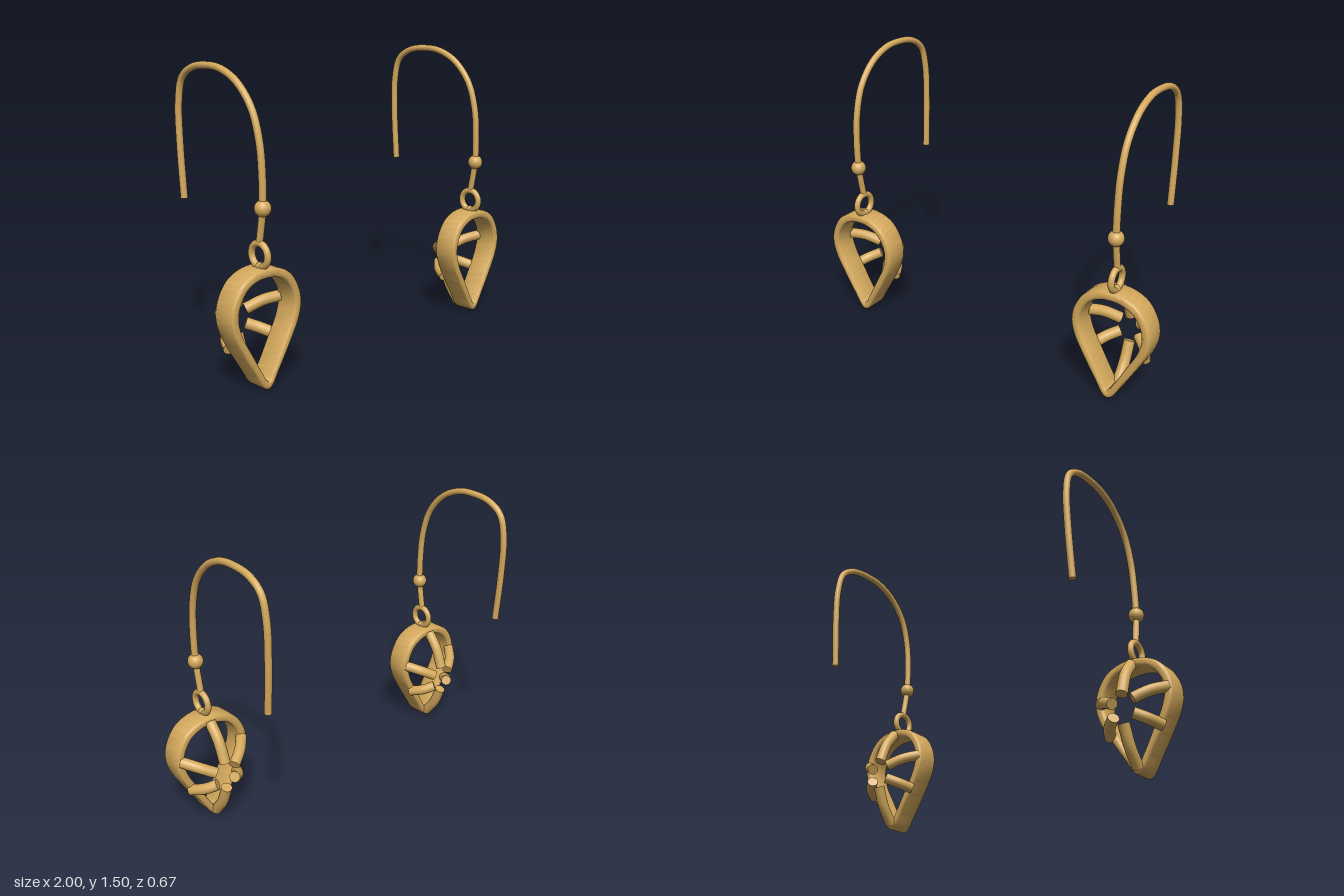
import * as THREE from 'three';
import { toCreasedNormals } from 'three/addons/utils/BufferGeometryUtils.js';

const gold = new THREE.MeshStandardMaterial({ color: 0xd4a95c });
gold.name = 'gold';

function add(parent, name, geometry, x = 0, y = 0, z = 0) {
  const mesh = new THREE.Mesh(geometry, gold);
  mesh.name = name;
  mesh.position.set(x, y, z);
  parent.add(mesh);
  return mesh;
}

// Round wire through points, closed with a flat disc at each end
function addWire(parent, name, points, radius, segments) {
  const curve = new THREE.CatmullRomCurve3(points.map(p => new THREE.Vector3(...p)));
  const group = new THREE.Group();
  group.name = name;
  add(group, name + 'Rod', new THREE.TubeGeometry(curve, segments, radius, 16));
  for (const t of [0, 1]) {
    const p = curve.getPointAt(t);
    const cap = add(group, name + 'End', new THREE.CircleGeometry(radius, 16), p.x, p.y, p.z);
    const out = curve.getTangentAt(t).multiplyScalar(t ? 1 : -1);
    cap.quaternion.setFromUnitVectors(new THREE.Vector3(0, 0, 1), out);
  }
  parent.add(group);
}

// Closed teardrop outline from its right half, listed from tip to top
function teardrop(half) {
  const left = half.slice(1, -1).reverse().map(([x, y]) => [-x, y]);
  const points = [...half, ...left].map(([x, y]) => new THREE.Vector3(x, y, 0));
  const curve = new THREE.CatmullRomCurve3(points, true);
  return curve.getSpacedPoints(96).slice(0, -1).map(p => new THREE.Vector2(p.x, p.y));
}

function frameGeometry() {
  const shape = new THREE.Shape(teardrop([
    [0, 0.008], [0.026, 0.022], [0.07, 0.092], [0.142, 0.21], [0.197, 0.315],
    [0.213, 0.39], [0.2, 0.465], [0.15, 0.545], [0.08, 0.585], [0, 0.597]]));
  shape.holes.push(new THREE.Path(teardrop([
    [0, 0.052], [0.03, 0.095], [0.09, 0.203], [0.147, 0.31],
    [0.167, 0.39], [0.156, 0.452], [0.115, 0.514], [0.06, 0.543], [0, 0.551]])));
  const bevel = 0.017;
  const geometry = new THREE.ExtrudeGeometry(shape, {
    depth: 0.13 - 2 * bevel, bevelThickness: bevel, bevelSize: bevel,
    bevelOffset: -bevel, bevelSegments: 4,
  });
  geometry.translate(0, 0, 0.19 + bevel);
  return toCreasedNormals(geometry, 0.7);
}

function createEarring() {
  const earring = new THREE.Group();

  add(earring, 'teardropFrame', frameGeometry());

  // Curved prongs cupping the back of the frame
  const prong = (name, points) => addWire(earring, name, points, 0.029, 12);
  prong('topProng', [[0, 0.568, 0.2], [0, 0.49, 0.137], [0, 0.375, 0.09]]);
  prong('bottomProng', [[0, 0.035, 0.2], [0, 0.125, 0.133], [0, 0.228, 0.09]]);
  for (const s of [1, -1]) {
    prong('upperSideProng', [[s * 0.185, 0.405, 0.205], [s * 0.125, 0.378, 0.137], [s * 0.055, 0.34, 0.09]]);
    prong('lowerSideProng', [[s * 0.142, 0.22, 0.205], [s * 0.105, 0.242, 0.137], [s * 0.052, 0.268, 0.09]]);
  }

  // Jump ring joined to the top of the frame
  add(earring, 'jumpRing', new THREE.TorusGeometry(0.056, 0.017, 16, 40), 0, 0.653, 0.265)
    .rotation.y = Math.PI / 2;
  add(earring, 'ringJoint', new THREE.SphereGeometry(0.02, 16, 12), 0, 0.6, 0.265);

  // Stem, bead and ear hook
  addWire(earring, 'stem', [[0, 0.715, 0.266], [0, 0.79, 0.279], [0, 0.87, 0.292]], 0.017, 10);
  add(earring, 'bead', new THREE.SphereGeometry(0.04, 24, 16), 0, 0.876, 0.292);
  addWire(earring, 'earHook', [
    [0, 0.88, 0.293], [0, 1.02, 0.292], [0, 1.17, 0.278], [0, 1.32, 0.228],
    [0, 1.43, 0.13], [0, 1.482, 0.02], [0, 1.493, -0.07], [0, 1.477, -0.2],
    [0, 1.42, -0.283], [0, 1.3, -0.315], [0, 1.1, -0.315], [0, 0.83, -0.296]], 0.018, 90);

  return earring;
}

export function createModel() {
  const model = new THREE.Group();
  model.name = 'earringPair';
  for (const [name, side] of [['leftEarring', 1], ['rightEarring', -1]]) {
    const earring = createEarring();
    earring.name = name;
    earring.position.x = side * 0.787;
    model.add(earring);
  }
  return model;
}
